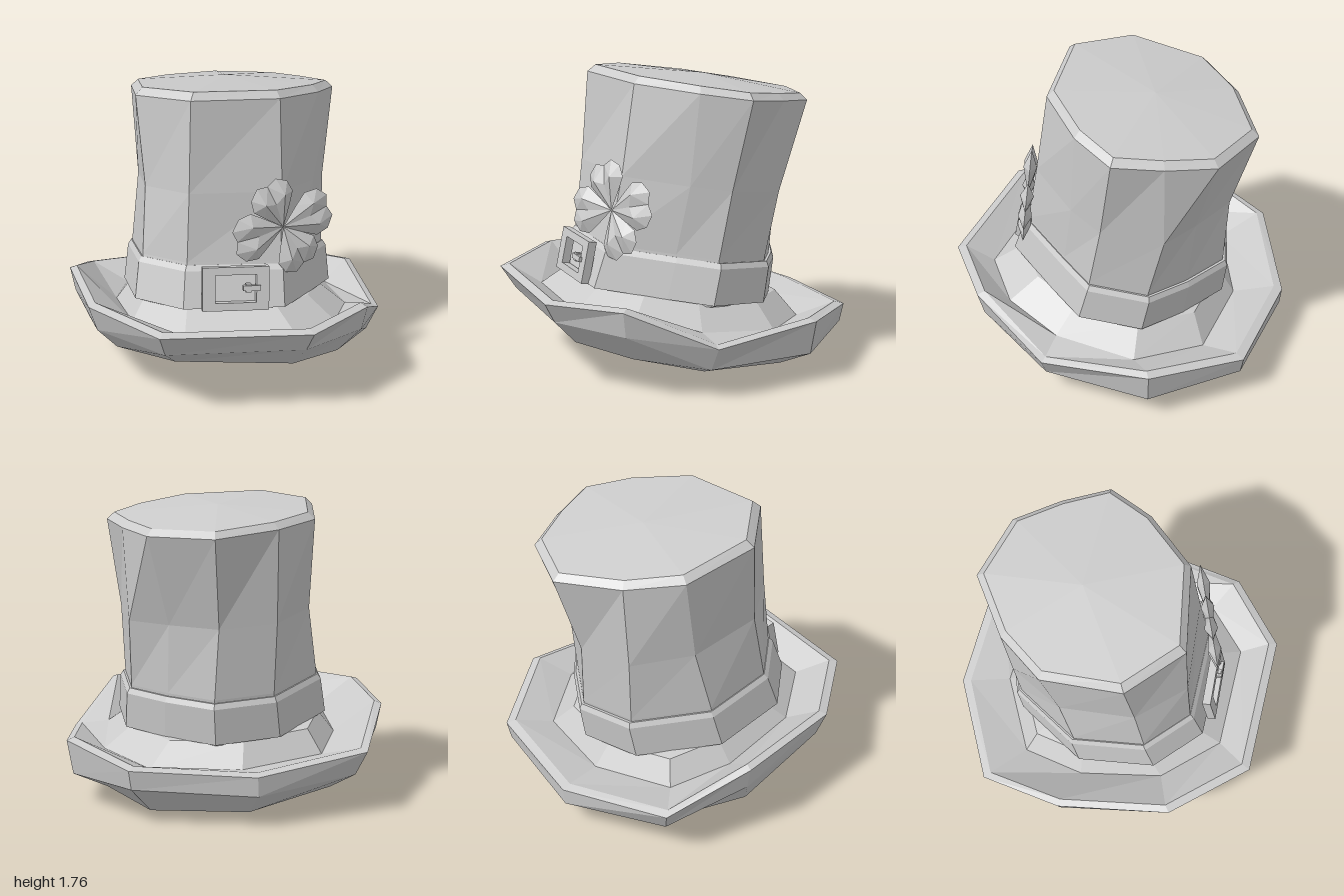
import * as THREE from 'three';

const material = new THREE.MeshStandardMaterial({ color: 0xcccccc, flatShading: true, side: THREE.DoubleSide });

function meshFrom(positions, name) {
  const g = new THREE.BufferGeometry();
  g.setAttribute('position', new THREE.Float32BufferAttribute(positions, 3));
  g.computeVertexNormals();
  const mesh = new THREE.Mesh(g, material);
  mesh.name = name;
  return mesh;
}

// Skin a stack of rings (counter-clockwise from above); a one-point ring closes an end.
function loft(rings, name) {
  const out = [];
  for (let i = 0; i < rings.length - 1; i++) {
    const lo = rings[i], hi = rings[i + 1], n = Math.max(lo.length, hi.length);
    for (let j = 0; j < n; j++) {
      const a = lo[j % lo.length], b = lo[(j + 1) % lo.length];
      const c = hi[(j + 1) % hi.length], d = hi[j % hi.length];
      if (lo.length > 1) out.push(...a, ...b, ...c);
      if (hi.length > 1) out.push(...a, ...c, ...d);
    }
  }
  return meshFrom(out, name);
}

// Scale a ring sideways, lay it on a plane that tilts down to the back, and shift it.
const tilted = (ring, s, y, dx = 0, dz = 0) => ring.map(p => {
  const z = p[p.length - 1] * s;
  return [p[0] * s + dx, y + 0.13 * z, z + dz];
});

// Brim: sagging outer edge, rolled underside, hollow bottom and a groove on top
function makeBrim() {
  const rim = [
    [-0.37, 0.29, -0.92], [-0.92, 0.36, -0.52], [-0.95, 0.53, 0], [-0.74, 0.55, 0.64], [-0.3, 0.53, 1],
    [0.54, 0.52, 0.88], [0.85, 0.53, 0.51], [0.95, 0.31, 0], [0.8, 0.37, -0.63], [0.33, 0.31, -1]];
  const wall = [
    [-0.37, 0.18, -0.91], [-0.85, 0.22, -0.49], [-0.92, 0.38, 0], [-0.7, 0.39, 0.6], [-0.28, 0.39, 0.91],
    [0.5, 0.4, 0.82], [0.82, 0.38, 0.49], [0.88, 0.17, 0.02], [0.77, 0.17, -0.61], [0.32, 0.2, -0.98]];
  const under = [
    [-0.3, 0.06, -0.8], [-0.7, 0.12, -0.41], [-0.82, 0.2, 0.05], [-0.6, 0.25, 0.52], [-0.24, 0.27, 0.74],
    [0.43, 0.25, 0.69], [0.69, 0.21, 0.42], [0.78, 0.13, 0.03], [0.6, 0.07, -0.49], [0.25, 0.05, -0.84]];
  const mouth = [
    [-0.2, 0.02, -0.58], [-0.52, 0.11, -0.32], [-0.6, 0.18, 0], [-0.5, 0.28, 0.36], [-0.2, 0.32, 0.51],
    [0.31, 0.31, 0.46], [0.59, 0.23, 0.29], [0.62, 0.13, 0], [0.5, 0.07, -0.42], [0.22, 0, -0.6]];
  const lip = rim.map(([x, y, z]) => [x * 0.955, y + 0.015, z * 0.945]);
  return loft([
    [[0, 0.43, 0]], tilted(mouth, 0.9, 0.43), mouth, under, wall, rim, lip,
    tilted(rim, 0.74, 0.345, 0.04, 0.03), tilted(rim, 0.6, 0.47), tilted(rim, 0.48, 0.48),
  ], 'brim');
}

// Crown outlines as [x, z], starting at the front
const base = [[-0.2, 0.66], [0.38, 0.57], [0.55, 0.18], [0.65, -0.07], [0.51, -0.42], [0.24, -0.55], [-0.08, -0.65], [-0.42, -0.47], [-0.62, 0], [-0.5, 0.45]];
const waist = [[-0.17, 0.51], [0.35, 0.39], [0.53, 0.04], [0.59, -0.19], [0.45, -0.52], [0.2, -0.59], [-0.1, -0.65], [-0.4, -0.49], [-0.53, -0.14], [-0.44, 0.29]];
const top = [[-0.16, 0.47], [0.33, 0.31], [0.55, -0.01], [0.64, -0.29], [0.48, -0.53], [0.28, -0.75], [-0.11, -0.8], [-0.41, -0.52], [-0.57, -0.22], [-0.49, 0.24]];

// Crown: pinched at the waist, with a bevelled and slightly domed top
function makeCrown() {
  const cap = top.map(([x, z]) => [x * 0.93 + 0.002, 1.7 + 0.13 * z, (z + 0.2) * 0.93 - 0.2]);
  return loft([tilted(base, 0.92, 0.45), tilted(base, 0.91, 0.72, 0, -0.05), tilted(waist, 1, 1.13),
    tilted(top, 1, 1.66), cap, [[0, 1.71, -0.2]]], 'crown');
}

// Hat band leaning back with the crown, with a narrow bevel along its upper edge
function makeBand() {
  return loft([tilted(base, 0.9, 0.47), tilted(base, 0.99, 0.47), tilted(base, 0.955, 0.675, 0, -0.05),
    tilted(base, 0.925, 0.705, 0, -0.055), tilted(base, 0.88, 0.7, 0, -0.055)], 'hatBand');
}

// Buckle: frame with a window, and its prong
function makeBuckle() {
  const rect = (T, w, h) => new T([[-w, -h], [w, -h], [w, h], [-w, h]].map(p => new THREE.Vector2(...p)));
  const shape = rect(THREE.Shape, 0.19, 0.125);
  shape.holes.push(rect(THREE.Path, 0.118, 0.08));
  const frame = new THREE.Mesh(new THREE.ExtrudeGeometry(shape, { depth: 0.05, bevelEnabled: false }), material);
  frame.name = 'buckleFrame';
  const prong = new THREE.Mesh(new THREE.BoxGeometry(0.1, 0.03, 0.035), material);
  prong.name = 'buckleProng';
  prong.position.set(0.09, 0.005, 0.05);
  const hinge = new THREE.Mesh(new THREE.BoxGeometry(0.03, 0.05, 0.035), material);
  hinge.name = 'buckleHinge';
  hinge.position.set(0.07, 0.005, 0.045);
  const buckle = new THREE.Group();
  buckle.name = 'buckle';
  buckle.add(frame, prong, hinge);
  buckle.position.set(0.09, 0.668, 0.585);
  buckle.rotation.set(-0.2, 0.2, -0.03, 'YXZ');
  return buckle;
}

// Four-leaf clover: each leaf is two puffed lobes meeting at a shallow crease
function makeClover() {
  const edge = [[0, 0], [0.1, 0.085], [0.165, 0.135], [0.235, 0.125], [0.28, 0.065], [0.262, 0]];
  const tri = [];
  for (const lobe of [1, -1]) for (const face of [1, -1]) {
    const hub = [0.18, 0.065 * lobe, 0.04 * face], crease = [0.15, 0, 0.024 * face];
    const loop = [...edge.map(([u, v]) => [u, v * lobe, 0]), crease];
    loop.forEach((p, i) => {
      const q = loop[(i + 1) % loop.length];
      // keep the corners counter-clockwise as seen from outside
      tri.push(...hub, ...(lobe * face > 0 ? [...p, ...q] : [...q, ...p]));
    });
  }
  const clover = new THREE.Group();
  clover.name = 'clover';
  // direction in degrees and length factor of each leaf
  for (const [angle, length] of [[15, 1.14], [110, 1], [188, 1.14], [298, 1]]) {
    const leaf = meshFrom(tri, 'cloverLeaf');
    leaf.rotation.z = THREE.MathUtils.degToRad(angle);
    leaf.scale.x = length;
    clover.add(leaf);
  }
  clover.position.set(0.36, 0.99, 0.455);
  clover.rotation.set(-0.12, 0.52, 0, 'YXZ');
  return clover;
}

export function createModel() {
  const hat = new THREE.Group();
  hat.name = 'topHat';
  hat.add(makeBrim(), makeCrown(), makeBand(), makeBuckle(), makeClover());
  return hat;
}
